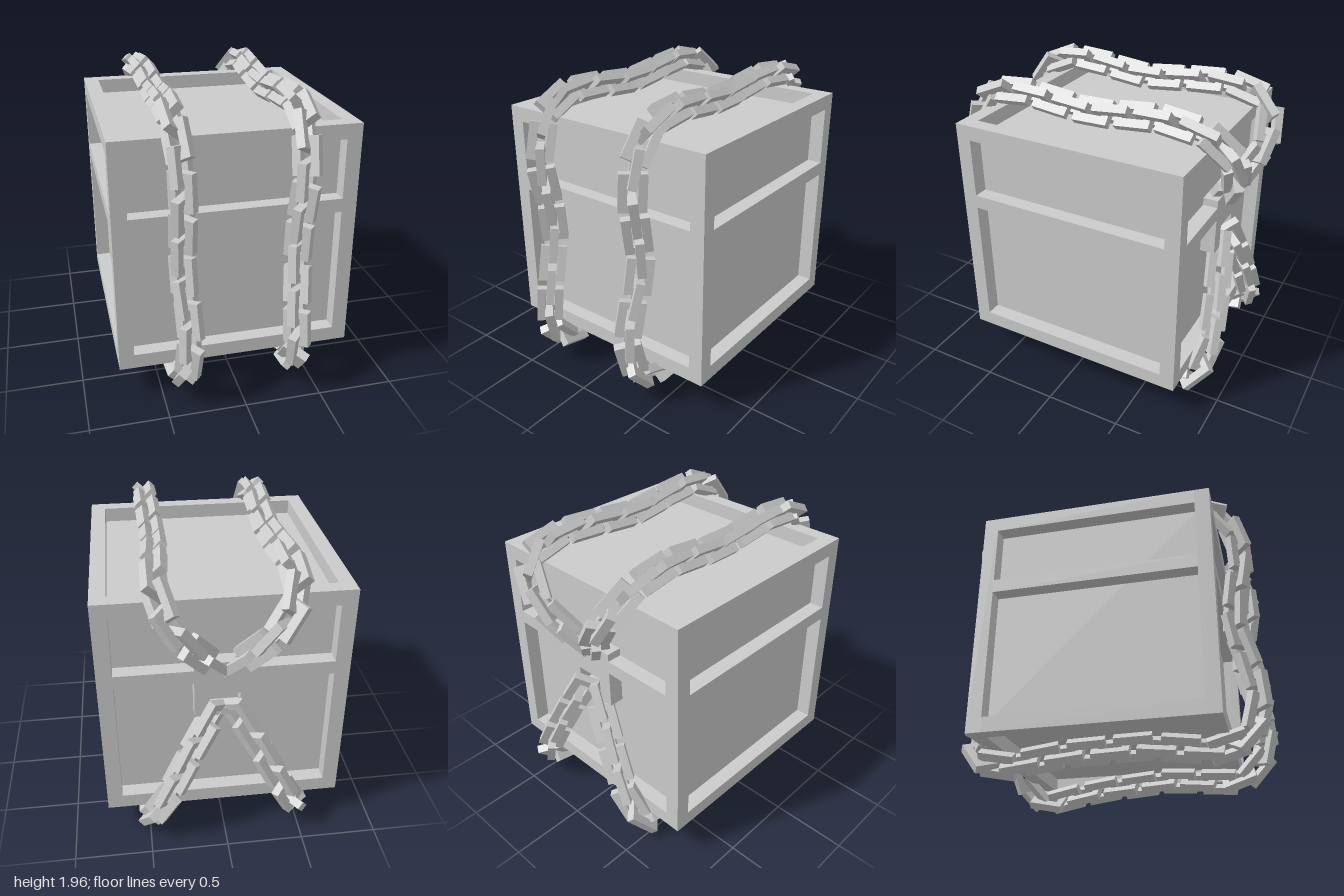
import * as THREE from 'three';

const mat = new THREE.MeshStandardMaterial({ color: 0xcccccc, flatShading: true });

// Crate extents and beam thickness
const W = 0.77, Y0 = 0.205, Y1 = 1.735, ZB = -0.79, ZF = 0.74, T = 0.097;
const H = Y1 - Y0, D = ZF - ZB, YC = (Y0 + Y1) / 2, ZC = (ZF + ZB) / 2;

function box(parent, name, w, h, d, x, y, z) {
  const m = new THREE.Mesh(new THREE.BoxGeometry(w, h, d), mat);
  m.name = name;
  m.position.set(x, y, z);
  parent.add(m);
}

function createCrate() {
  const g = new THREE.Group();
  g.name = 'crate';
  box(g, 'recessedPanels', 2 * W - 2 * T, H - 2 * T, D - 2 * T, 0, YC, ZC);
  const barY = 1.205, barH = 0.09;
  const xs = [-W + T / 2, W - T / 2];
  const zs = [ZB + T / 2, ZF - T / 2];
  const ys = [Y0 + T / 2, Y1 - T / 2];
  for (const x of xs) {
    for (const z of zs) box(g, 'cornerPost', T, H, T, x, YC, z);
    for (const y of ys) box(g, 'sideRail', T, T, D - 2 * T, x, y, ZC);
    box(g, 'sideMiddleBar', T, barH, D - 2 * T, x, barY, ZC);
  }
  for (const z of zs) {
    for (const y of ys) box(g, 'crossRail', 2 * W - 2 * T, T, T, 0, y, z);
    box(g, 'crossMiddleBar', 2 * W - 2 * T, barH, T, 0, barY, z);
  }
  // Plate with a square opening on the back
  const s = new THREE.Shape();
  s.moveTo(-0.19, 0.91).lineTo(0.19, 0.91).lineTo(0.19, 1.3).lineTo(-0.19, 1.3).closePath();
  const hole = new THREE.Path();
  hole.moveTo(-0.095, 0.965).lineTo(-0.095, 1.07).lineTo(0.095, 1.07).lineTo(0.095, 0.965).closePath();
  s.holes.push(hole);
  const plate = new THREE.Mesh(new THREE.ExtrudeGeometry(s, { depth: T, bevelEnabled: false }), mat);
  plate.name = 'lockPlate';
  plate.position.z = ZB;
  g.add(plate);
  return g;
}

// One rectangular link: long along x, thin along z
function linkGeometry() {
  const l = 0.118, w = 0.085, t = 0.054;
  const s = new THREE.Shape();
  s.moveTo(-l, -w).lineTo(l, -w).lineTo(l, w).lineTo(-l, w).closePath();
  const h = new THREE.Path();
  const a = l - 0.046, b = w - t;
  h.moveTo(-a, -b).lineTo(-a, b).lineTo(a, b).lineTo(a, -b).closePath();
  s.holes.push(h);
  return new THREE.ExtrudeGeometry(s, { depth: t, bevelEnabled: false }).translate(0, 0, -t / 2);
}

// Centre line of the left chain, from the plate under the crate, up the front and over the top
const PATH = [
  [0.09, 0.90, -0.80], [0.19, 0.72, -0.83], [0.30, 0.50, -0.86], [0.41, 0.28, -0.865],
  [0.475, 0.14, -0.80], [0.49, 0.085, -0.68], [0.47, 0.10, -0.5], [0.45, 0.135, -0.25],
  [0.43, 0.15, 0], [0.41, 0.16, 0.25], [0.39, 0.135, 0.5], [0.375, 0.13, 0.7],
  [0.36, 0.21, 0.85], [0.35, 0.38, 0.92], [0.345, 0.6, 0.905], [0.36, 0.8, 0.85],
  [0.365, 1.0, 0.82], [0.365, 1.2, 0.845], [0.37, 1.45, 0.88], [0.375, 1.65, 0.84],
  [0.385, 1.79, 0.74], [0.39, 1.85, 0.58], [0.385, 1.85, 0.4], [0.375, 1.815, 0],
  [0.38, 1.85, -0.4], [0.395, 1.85, -0.6], [0.395, 1.80, -0.80], [0.35, 1.69, -0.90],
  [0.25, 1.53, -0.91], [0.16, 1.41, -0.86], [0.09, 1.32, -0.80],
];

function createChain(side, geo) {
  const g = new THREE.Group();
  g.name = side > 0 ? 'leftChain' : 'rightChain';
  const curve = new THREE.CatmullRomCurve3(PATH.map(([x, y, z]) => new THREE.Vector3(x * side, y, z)));
  curve.arcLengthDivisions = 600;
  const n = Math.round(curve.getLength() / 0.143);
  const lateral = new THREE.Vector3(1, 0, 0);
  for (let i = 0; i <= n; i++) {
    const p = curve.getPointAt(i / n), t = curve.getTangentAt(i / n);
    // Lateral axis follows the path; links alternate a quarter turn
    const u = lateral.clone().addScaledVector(t, -lateral.dot(t)).normalize();
    const v = new THREE.Vector3().crossVectors(t, u);
    const link = new THREE.Mesh(geo, mat);
    link.name = 'chainLink';
    link.quaternion.setFromRotationMatrix(new THREE.Matrix4().makeBasis(t, u, v));
    link.rotateX((i % 2 ? 1 : -1) * side * Math.PI / 4);
    link.position.copy(p);
    g.add(link);
  }
  return g;
}

export function createModel() {
  const model = new THREE.Group();
  model.name = 'chainedCrate';
  const geo = linkGeometry();
  model.add(createCrate(), createChain(1, geo), createChain(-1, geo));
  return model;
}
